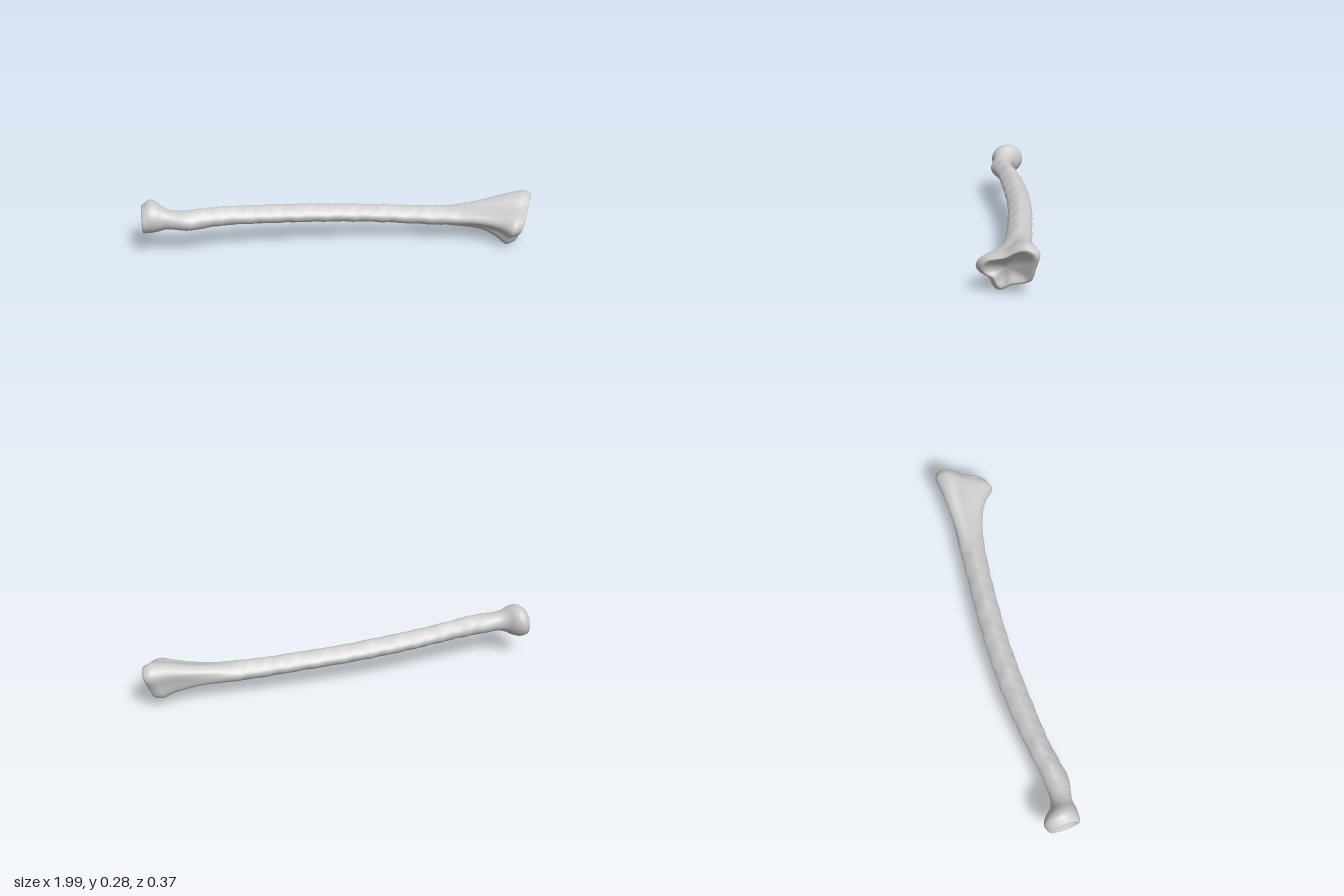
import * as THREE from 'three';

// Stations along the bone: x, bottom y, top y, back z, front z
const STATIONS = [
  [-0.995, 0.118, 0.255, -0.17, -0.012], [-0.96, 0.115, 0.28, -0.184, -0.009], [-0.925, 0.122, 0.275, -0.167, -0.01],
  [-0.89, 0.136, 0.252, -0.13, -0.014], [-0.85, 0.141, 0.238, -0.112, -0.006], [-0.78, 0.135, 0.235, -0.11, 0.009],
  [-0.7, 0.137, 0.24, -0.115, 0], [-0.6, 0.14, 0.236, -0.127, -0.016], [-0.4, 0.133, 0.225, -0.145, -0.025],
  [-0.2, 0.124, 0.216, -0.15, -0.028], [0, 0.115, 0.205, -0.145, -0.025], [0.2, 0.105, 0.196, -0.13, -0.01],
  [0.4, 0.091, 0.186, -0.11, 0.012], [0.6, 0.08, 0.184, -0.092, 0.046], [0.7, 0.068, 0.2, -0.083, 0.082],
  [0.78, 0.036, 0.228, -0.083, 0.13], [0.82, 0.015, 0.238, -0.087, 0.163], [0.85, 0.001, 0.24, -0.091, 0.182],
  [0.875, 0.008, 0.231, -0.086, 0.174],
];

// Outline of the wide wrist end, as z, y
const WRIST = [
  [0.18, 0.11], [0.177, 0.135], [0.15, 0.165], [0.06, 0.193], [0.01, 0.228], [-0.03, 0.241], [-0.07, 0.225], [-0.09, 0.195],
  [-0.077, 0.125], [-0.06, 0.062], [-0.03, 0.045], [0.03, 0.03], [0.065, 0.006], [0.085, 0], [0.105, 0.018], [0.125, 0.06],
  [0.165, 0.085],
];
const SIDES = 72;
const outline = new THREE.CatmullRomCurve3(
  WRIST.map(([z, y]) => new THREE.Vector3((z - 0.045) / 0.135, (y - 0.12) / 0.12, 0)), true,
).getSpacedPoints(SIDES).slice(0, SIDES);

const smooth = THREE.MathUtils.smoothstep;

// Smooth interpolation between the stations
function bounds(x) {
  const S = STATIONS, last = S.length - 1;
  let i = 0;
  while (i < last - 1 && x > S[i + 1][0]) i++;
  const slope = (k, c) => {
    const a = S[Math.max(k - 1, 0)], b = S[Math.min(k + 1, last)];
    return (b[c] - a[c]) / (b[0] - a[0]);
  };
  const h = S[i + 1][0] - S[i][0];
  const t = THREE.MathUtils.clamp((x - S[i][0]) / h, 0, 1), t2 = t * t, t3 = t2 * t;
  return [1, 2, 3, 4].map((c) => S[i][c] * (2 * t3 - 3 * t2 + 1) + S[i + 1][c] * (3 * t2 - 2 * t3)
    + h * (slope(i, c) * (t3 - 2 * t2 + t) + slope(i + 1, c) * (t3 - t2)));
}

// One cross-section: u places it, scale shrinks it for the end caps, dx sinks the cap
function ring(u, scale = 1, dx = 0) {
  const [y0, y1, z0, z1] = bounds(u);
  const blend = smooth(u, 0.5, 0.82);
  const shaft = smooth(u, -0.86, -0.68) * (1 - smooth(u, 0.45, 0.75));
  const slant = smooth(u, 0.62, 0.85);
  const points = [];
  for (const d of outline) {
    const len = Math.hypot(d.x, d.y);
    let a = THREE.MathUtils.lerp(d.x / len, d.x, blend);
    const b = THREE.MathUtils.lerp(d.y / len, d.y, blend);
    // the shaft narrows to a crest along its top
    a *= 1 - 0.38 * shaft * Math.max(0, b) ** 1.5;
    const angle = Math.atan2(d.y, d.x);
    const rough = 1 + shaft * (0.018 * Math.sin(u * 47 + 2 * angle) + 0.014 * Math.sin(u * 83 - 3 * angle)
      + 0.03 * Math.max(0, b) ** 6 * Math.sin(u * 31));
    const z = (z0 + z1) / 2 + a * scale * rough * (z1 - z0) / 2;
    const y = (y0 + y1) / 2 + b * scale * rough * (y1 - y0) / 2;
    // the wrist end is cut at a slant, longest at the back and top
    const x = u + dx + slant * (0.016 - 0.307 * z + 0.328 * y);
    points.push(x, y, z);
  }
  return points;
}

export function createModel() {
  const group = new THREE.Group();
  group.name = 'forearmBone';

  const rings = [];
  // hollow cap of the round head
  for (const [k, dx] of [[0.001, 0.024], [0.25, 0.022], [0.5, 0.014], [0.7, 0.003], [0.82, -0.004], [0.92, -0.004]]) {
    rings.push(ring(-0.995, k, dx));
  }
  const first = rings.length, steps = 190;
  for (let i = 0; i <= steps; i++) rings.push(ring(-0.995 + 1.87 * i / steps));
  // rounded rim and hollow joint face of the wrist end
  for (const [k, dx] of [[0.96, 0.012], [0.9, 0.019], [0.83, 0.019], [0.72, 0.01], [0.55, -0.004], [0.35, -0.013],
    [0.15, -0.016], [0.001, -0.017]]) {
    rings.push(ring(0.875, k, dx));
  }

  const strip = (from, to) => {
    const index = [];
    for (let i = from; i < to; i++) {
      for (let j = 0; j < SIDES; j++) {
        const n = (j + 1) % SIDES;
        const a = i * SIDES + j, b = a + SIDES, c = i * SIDES + n, d = c + SIDES;
        index.push(a, b, c, b, d, c);
      }
    }
    return index;
  };

  // shared vertices and normals keep the joins between parts smooth
  const whole = new THREE.BufferGeometry();
  whole.setAttribute('position', new THREE.Float32BufferAttribute(rings.flat(), 3));
  whole.setIndex(strip(0, rings.length - 1));
  whole.computeVertexNormals();

  const material = new THREE.MeshStandardMaterial({ color: 0xcccccc });
  const headEnd = first + 14, wristStart = first + 155;
  for (const [name, from, to] of [['roundHead', 0, headEnd], ['shaft', headEnd, wristStart],
    ['wristEnd', wristStart, rings.length - 1]]) {
    const geometry = new THREE.BufferGeometry();
    geometry.setAttribute('position', whole.attributes.position);
    geometry.setAttribute('normal', whole.attributes.normal);
    geometry.setIndex(strip(from, to));
    const mesh = new THREE.Mesh(geometry, material);
    mesh.name = name;
    group.add(mesh);
  }
  return group;
}
